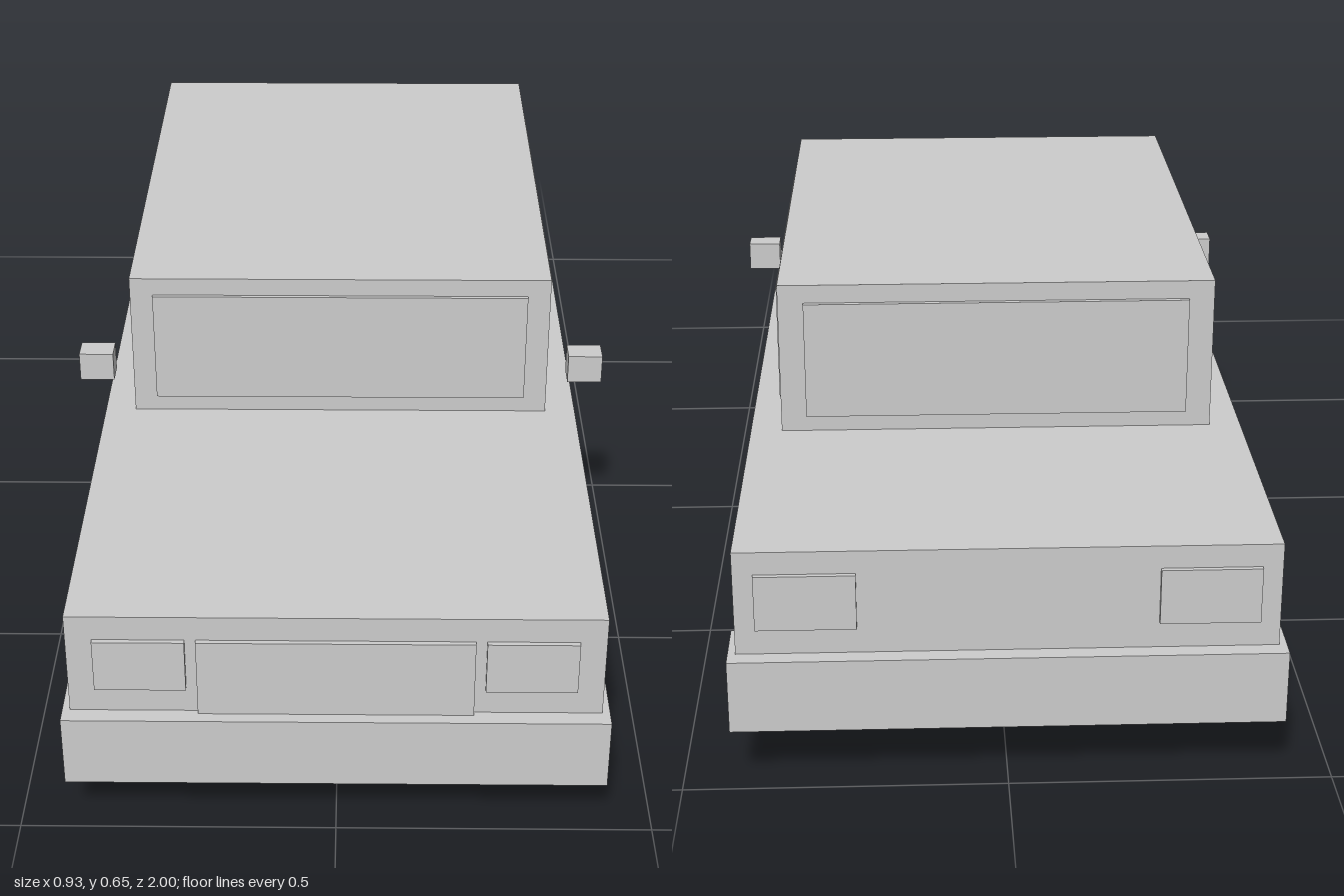
import * as THREE from 'three';

export function createModel() {
  const car = new THREE.Group();
  car.name = 'car';
  const grey = new THREE.MeshStandardMaterial({ color: 0xcccccc });
  grey.name = 'light grey';

  // Box given by its low and high bounds on each axis
  function box(name, [x0, x1], [y0, y1], [z0, z1]) {
    const mesh = new THREE.Mesh(new THREE.BoxGeometry(x1 - x0, y1 - y0, z1 - z0), grey);
    mesh.position.set((x0 + x1) / 2, (y0 + y1) / 2, (z0 + z1) / 2);
    mesh.name = name;
    car.add(mesh);
  }

  // The same box on both sides of the car
  function pair(name, [x0, x1], y, z) {
    box(name + 'Left', [x0, x1], y, z);
    box(name + 'Right', [-x1, -x0], y, z);
  }

  // Body and cabin
  box('body', [-0.412, 0.412], [0.093, 0.382], [-0.973, 0.973]);
  box('cabin', [-0.36, 0.36], [0.382, 0.64], [-0.523, 0.362]);

  // Bumpers
  box('frontBumper', [-0.424, 0.424], [0.083, 0.205], [0.9, 1]);
  box('rearBumper', [-0.424, 0.424], [0.093, 0.212], [-1, -0.9]);

  // Windows
  box('windshield', [-0.321, 0.321], [0.412, 0.609], [0.361, 0.369]);
  box('rearWindow', [-0.318, 0.318], [0.41, 0.609], [-0.531, -0.522]);
  pair('sideWindow', [0.359, 0.367], [0.411, 0.607], [-0.443, 0.281]);

  // Lights and grille
  pair('headlight', [0.23, 0.371], [0.25, 0.34], [0.972, 0.981]);
  pair('tailLight', [0.228, 0.381], [0.255, 0.345], [-0.981, -0.972]);
  box('grille', [-0.213, 0.213], [0.2, 0.34], [0.972, 0.981]);

  // Side mirrors
  pair('mirror', [0.404, 0.464], [0.402, 0.454], [0.252, 0.295]);

  // Ten-sided wheels standing on a flat side
  const wheelGeometry = new THREE.CylinderGeometry(0.15, 0.15, 0.092, 10).toNonIndexed();
  wheelGeometry.rotateY(Math.PI / 2);
  wheelGeometry.rotateZ(Math.PI / 2);
  wheelGeometry.computeVertexNormals();
  for (const [end, z] of [['front', 0.59], ['rear', -0.59]]) {
    for (const [side, x] of [['Left', 0.378], ['Right', -0.378]]) {
      const wheel = new THREE.Mesh(wheelGeometry, grey);
      wheel.name = end + 'Wheel' + side;
      wheel.position.set(x, 0.15 * Math.sin(Math.PI * 0.4), z);
      car.add(wheel);
    }
  }

  return car;
}
